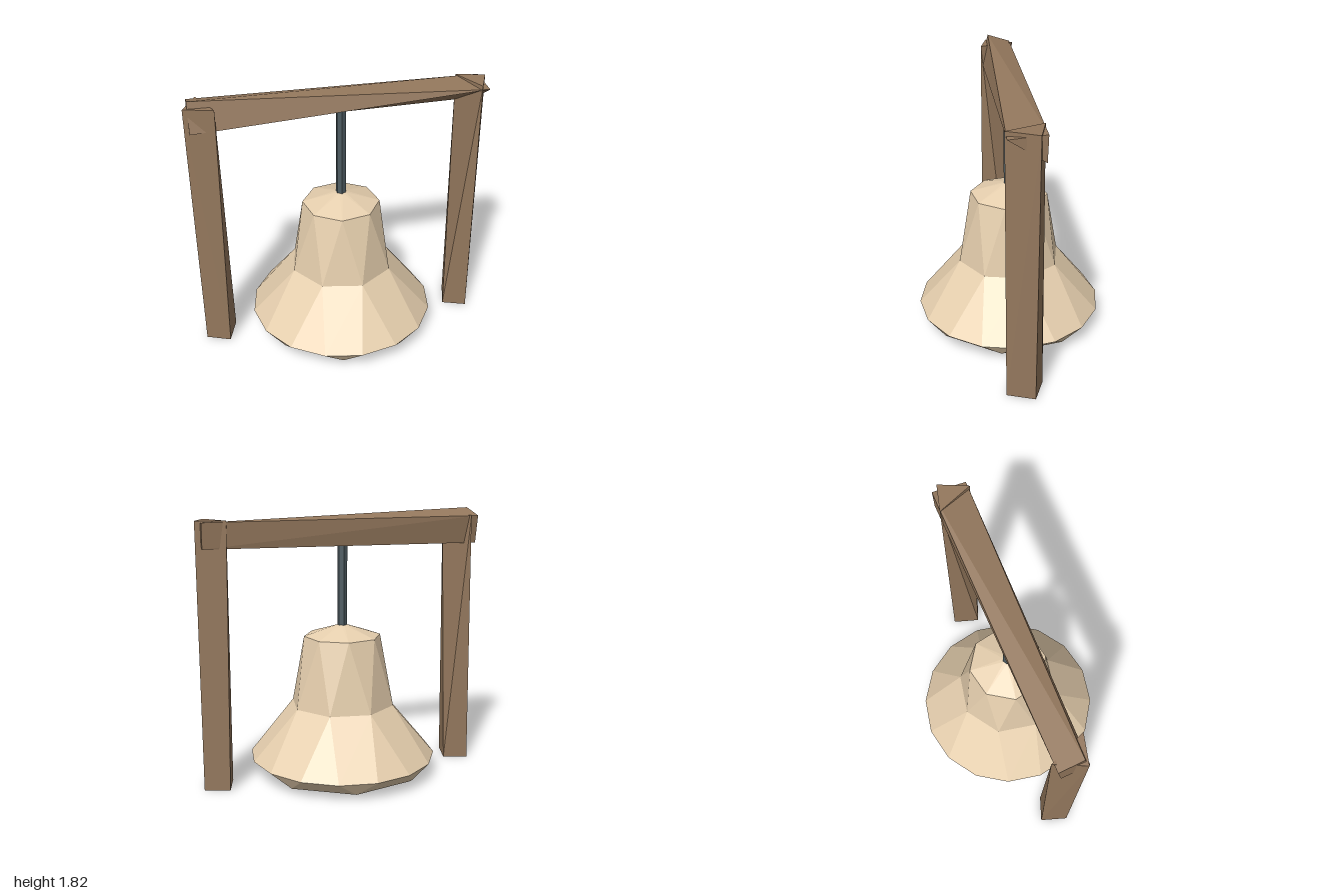
import * as THREE from 'three';
import { ConvexGeometry } from 'three/addons/geometries/ConvexGeometry.js';

const paint = (color) => new THREE.MeshStandardMaterial({ color, flatShading: true, side: THREE.DoubleSide });
const wood = paint(0x94785d);
const clay = paint(0xe6cfae);
const iron = paint(0x4e5c62);

function addMesh(parent, name, geometry, material) {
  const mesh = new THREE.Mesh(geometry, material);
  mesh.name = name;
  parent.add(mesh);
  return mesh;
}

function fromTriangles(points) {
  const geometry = new THREE.BufferGeometry();
  geometry.setAttribute('position', new THREE.Float32BufferAttribute(points.flat(), 3));
  geometry.computeVertexNormals();
  return geometry;
}

// Twisted beam: a four-cornered end that runs out to a three-cornered one
function beamGeometry() {
  const end = (x, corners) => corners.map(([y, z]) => [x, y, z]);
  const [lowFront, topFront, topBack, lowBack] =
    end(-0.97, [[1.62, 0.1], [1.82, 0.05], [1.77, -0.11], [1.58, -0.08]]);
  const [front, top, low] = end(0.965, [[1.745, 0.118], [1.765, -0.11], [1.6, -0.105]]);
  return fromTriangles([
    lowFront, topFront, topBack, lowFront, topBack, lowBack,
    front, low, top,
    lowFront, front, topFront,
    topFront, front, top, topFront, top, topBack,
    topBack, top, low, topBack, low, lowBack,
    lowBack, low, front, lowBack, front, lowFront,
  ]);
}

// Faceted shell: rings with different side counts and offsets, stitched in angle order
function facetedShell(rings) {
  const tris = [];
  const angle = (ring, i) => ring.offset + (i * 360) / ring.n;
  const point = (ring, i) => {
    const a = THREE.MathUtils.degToRad(angle(ring, i));
    return [ring.r * Math.sin(a), ring.y, -ring.r * Math.cos(a)];
  };
  for (let k = 0; k + 1 < rings.length; k++) {
    const up = rings[k], low = rings[k + 1];
    let i = 0, j = 0;
    while (i < up.n || j < low.n) {
      const moveUp = j >= low.n || (i < up.n && angle(up, i + 1) < angle(low, j + 1));
      if (moveUp) {
        tris.push(point(up, i), point(up, i + 1), point(low, j));
        i++;
      } else {
        tris.push(point(low, j), point(up, i), point(low, j + 1));
        j++;
      }
    }
  }
  return fromTriangles(tris);
}

export function createModel() {
  const model = new THREE.Group();
  model.name = 'hangingBell';

  // Posts: square foot, three-cornered head; the second is the first turned half round
  const section = (corners, y) => corners.map(([x, z]) => new THREE.Vector3(x, y, z));
  const post = new ConvexGeometry([
    ...section([[-1, 0.06], [-0.84, 0.125], [-0.78, -0.06], [-0.94, -0.12]], 0),
    ...section([[-1, 0.065], [-0.81, 0.115], [-0.91, -0.125]], 1.775),
  ]);
  addMesh(model, 'rightPost', post, wood);
  addMesh(model, 'leftPost', post, wood).rotation.y = Math.PI;

  addMesh(model, 'crossbeam', beamGeometry(), wood);

  // Bell: open below
  addMesh(model, 'bell', facetedShell([
    { n: 8, offset: -11.25, y: 1.045, r: 0.03 },
    { n: 8, offset: 11.25, y: 0.97, r: 0.265 },
    { n: 8, offset: -11.25, y: 0.49, r: 0.36 },
    { n: 16, offset: 0, y: 0.13, r: 0.645 },
    { n: 8, offset: 11.25, y: 0.035, r: 0.57 },
  ]), clay);

  // Hanger rod and the clapper inside
  const rod = addMesh(model, 'hangerRod', new THREE.CylinderGeometry(0.034, 0.034, 1.26, 6), iron);
  rod.position.y = 1.04;
  const clapper = addMesh(model, 'clapper', new THREE.CylinderGeometry(0.04, 0.05, 0.4, 6), iron);
  clapper.position.y = 0.24;

  return model;
}
